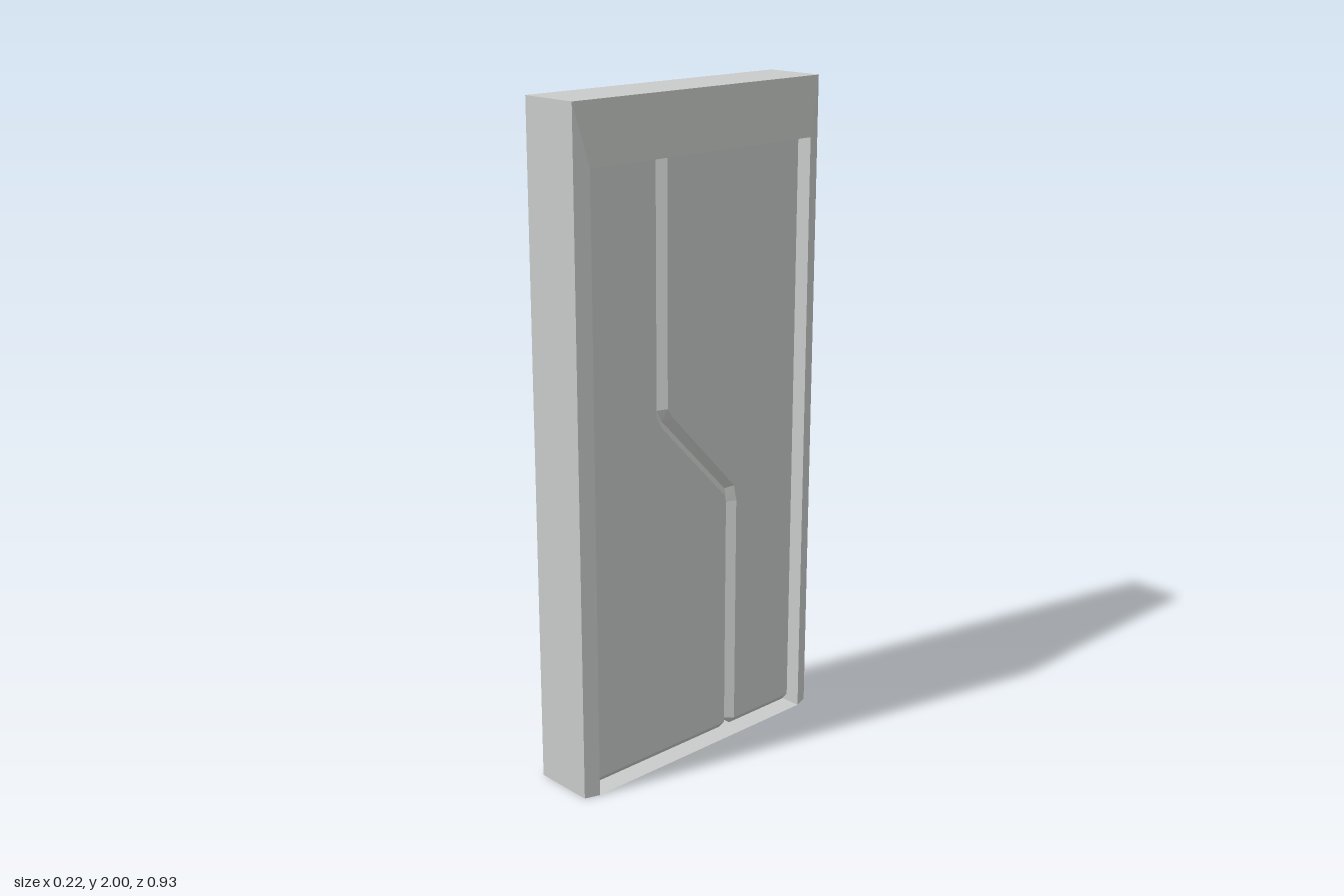
import * as THREE from 'three';

const metal = new THREE.MeshStandardMaterial({ color: 0xc8cbc9, side: THREE.DoubleSide });
metal.name = 'pale grey metal';

// Flat-shaded mesh from a list of corner points, three per triangle
function facetedMesh(name, points) {
  const geometry = new THREE.BufferGeometry().setFromPoints(points);
  geometry.computeVertexNormals();
  const mesh = new THREE.Mesh(geometry, metal);
  mesh.name = name;
  return mesh;
}

const quad = (out, a, b, c, d) => out.push(a, b, c, a, c, d);

// Door frame: a four-sided section swept up, across and down, open at the feet
function buildFrame() {
  const outer = [[0, 0.465], [2, 0.465], [2, -0.465], [0, -0.465]];
  const inner = [[0, 0.42], [1.825, 0.42], [1.825, -0.42], [0, -0.42]];
  const sections = outer.map(([oy, oz], i) => {
    const [iy, iz] = inner[i];
    return [
      new THREE.Vector3(0.095, oy, oz),
      new THREE.Vector3(0.11, iy, iz),
      new THREE.Vector3(-0.11, iy, iz),
      new THREE.Vector3(-0.095, oy, oz),
    ];
  });
  const out = [];
  for (let i = 0; i < 3; i++) {
    for (let k = 0; k < 4; k++) {
      const n = (k + 1) % 4;
      quad(out, sections[i][k], sections[i][n], sections[i + 1][n], sections[i + 1][k]);
    }
  }
  return facetedMesh('doorFrame', out);
}

// Door leaf: edge outline and smaller face outline, given as [-z, y], joined by bevels
function buildLeaf(name, edge, face) {
  const layers = [[0.08, face], [0.058, edge], [-0.058, edge], [-0.08, face]].map(
    ([x, outline]) => outline.map(([u, y]) => new THREE.Vector3(x, y, -u)));
  const out = [];
  for (let i = 0; i < 3; i++) {
    for (let k = 0; k < edge.length; k++) {
      const n = (k + 1) % edge.length;
      quad(out, layers[i][k], layers[i + 1][k], layers[i + 1][n], layers[i][n]);
    }
  }
  // Flat faces on both sides
  const flat = face.map(([u, y]) => new THREE.Vector2(u, y));
  for (const [a, b, c] of THREE.ShapeUtils.triangulateShape(flat, [])) {
    out.push(layers[0][a], layers[0][b], layers[0][c]);
    out.push(layers[3][a], layers[3][c], layers[3][b]);
  }
  return facetedMesh(name, out);
}

export function createModel() {
  const model = new THREE.Group();
  model.name = 'slidingDoor';
  model.add(buildFrame());

  // Threshold between the jambs
  const sill = new THREE.Mesh(new THREE.PlaneGeometry(0.22, 0.84).rotateX(-Math.PI / 2), metal);
  sill.name = 'sill';
  model.add(sill);

  // Stepped seam where the leaves meet, from bottom to top
  const seam = [[0.138, 0.035], [0.138, 0.755], [0.13, 0.8], [-0.125, 1.065], [-0.143, 1.1], [-0.143, 1.825]];

  model.add(buildLeaf('frontLeaf',
    [[-0.42, 0.035], [-0.4, 0.01], [0.115, 0.01], ...seam, [-0.42, 1.825]],
    [[-0.4, 0.035], [-0.4, 0.035], [0.115, 0.035], [0.115, 0.035], [0.115, 0.75], [0.108, 0.79],
      [-0.145, 1.055], [-0.164, 1.09], [-0.166, 1.825], [-0.4, 1.825]]));

  model.add(buildLeaf('rearLeaf',
    [[0.16, 0.01], [0.4, 0.01], [0.42, 0.035], [0.42, 1.825], ...[...seam].reverse()],
    [[0.16, 0.035], [0.4, 0.035], [0.4, 0.035], [0.4, 1.825], [-0.12, 1.825], [-0.12, 1.105],
      [-0.1, 1.075], [0.15, 0.81], [0.16, 0.76], [0.16, 0.035]]));

  return model;
}
